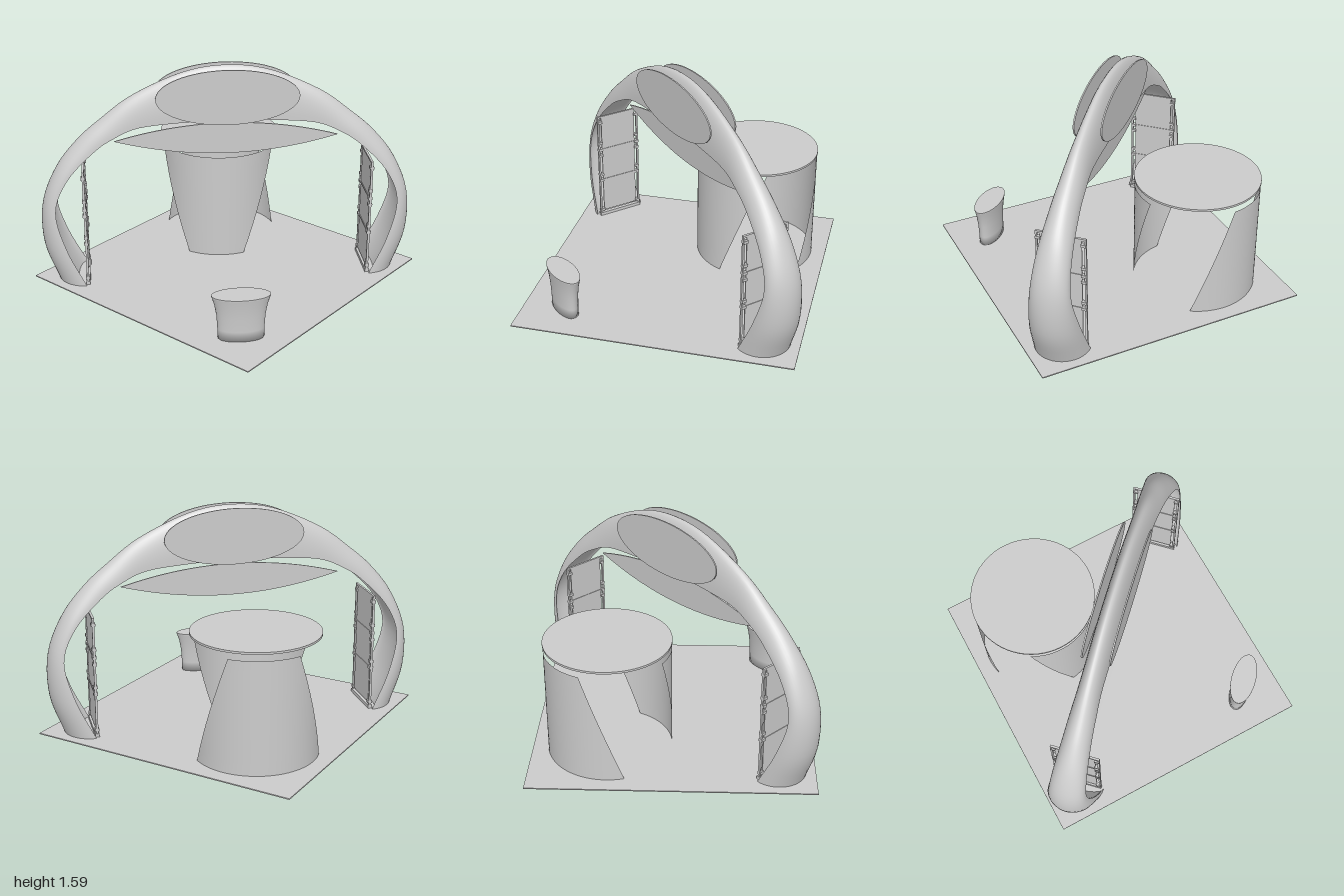
import * as THREE from 'three';

const grey = new THREE.MeshStandardMaterial({ color: 0xcccccc, side: THREE.DoubleSide });
grey.name = 'light grey';

function add(parent, name, geometry, x = 0, y = 0, z = 0) {
  const mesh = new THREE.Mesh(geometry, grey);
  mesh.name = name;
  mesh.position.set(x, y, z);
  parent.add(mesh);
  return mesh;
}

// Smooth surface from a rule f(u, v) -> [x, y, z]
function surface(f, nu, nv) {
  const pos = [], index = [];
  for (let i = 0; i <= nu; i++)
    for (let j = 0; j <= nv; j++) pos.push(...f(i / nu, j / nv));
  for (let i = 0; i < nu; i++)
    for (let j = 0; j < nv; j++) {
      const a = i * (nv + 1) + j, b = a + nv + 1;
      index.push(a, a + 1, b, b, a + 1, b + 1);
    }
  const g = new THREE.BufferGeometry();
  g.setAttribute('position', new THREE.Float32BufferAttribute(pos, 3));
  g.setIndex(index);
  g.computeVertexNormals();
  return g;
}

// Crescent arch: inner edge (x, y), half width, outer ridge (x, y) from foot to crown
function buildArch(parent) {
  const half = [
    [1.03, 0.00, 0.20, 1.235, 0.00],
    [1.165, 0.29, 0.175, 1.33, 0.29],
    [1.23, 0.57, 0.14, 1.325, 0.60],
    [1.14, 0.80, 0.12, 1.215, 0.87],
    [0.95, 1.00, 0.10, 1.06, 1.07],
    [0.80, 1.10, 0.09, 0.89, 1.22],
    [0.62, 1.17, 0.08, 0.66, 1.39],
    [0.30, 1.20, 0.08, 0.31, 1.545],
  ];
  const mirrored = half.map(([a, b, n, c, d]) => [-a, b, n, -c, d]);
  const all = [...mirrored, [0, 1.21, 0.08, 0, 1.59], ...half.reverse()];
  const edge = new THREE.CatmullRomCurve3(all.map(s => new THREE.Vector3(s[0], s[1], s[2])), false, 'catmullrom');
  const ridge = new THREE.CatmullRomCurve3(all.map(s => new THREE.Vector3(s[3], s[4], 0)), false, 'catmullrom');
  const skin = depth => surface((u, v) => {
    const e = edge.getPoint(u), r = ridge.getPoint(u);
    const k = depth * Math.sin(v * Math.PI);
    return [e.x + (r.x - e.x) * k, e.y + (r.y - e.y) * k, -e.z * Math.cos(v * Math.PI)];
  }, 80, 20);
  add(parent, 'archOuterSkin', skin(1));
  add(parent, 'archInnerSkin', skin(0.3));
}

// Pointed lens plate hanging under the crown
function buildHangingPanel(parent) {
  const s = new THREE.Shape();
  s.moveTo(-0.8, 1.045);
  s.quadraticCurveTo(0, 0.815, 0.8, 1.045);
  s.quadraticCurveTo(0, 1.275, -0.8, 1.045);
  const g = new THREE.ExtrudeGeometry(s, { depth: 0.01, bevelEnabled: false, curveSegments: 32 });
  add(parent, 'hangingPanel', g, 0, 0, -0.005);
}

// Framed upright panel across the opening of each leg
function buildLegPanel(parent, side) {
  const panel = new THREE.Group();
  panel.name = side > 0 ? 'rightPanel' : 'leftPanel';
  panel.position.x = side * 1.025;
  parent.add(panel);
  const box = (name, w, h, d, y, z) => add(panel, name, new THREE.BoxGeometry(w, h, d), 0, y, z);
  box('board', 0.008, 0.83, 0.29, 0.465, 0);
  box('panelFoot', 0.03, 0.025, 0.36, 0.022, 0);
  for (const z of [-0.17, 0.17]) {
    box('rail', 0.016, 0.87, 0.014, 0.455, z);
    for (const y of [0.06, 0.33, 0.38, 0.55, 0.6, 0.66, 0.84])
      box('bracket', 0.03, 0.02, 0.035, y, z * 0.93);
  }
  for (const y of [0.33, 0.6, 0.883]) box('crossBar', 0.016, 0.014, 0.354, y, 0);
}

// Round table on two curved shells, one tapering down and one tapering up
function buildTable(parent) {
  const table = new THREE.Group();
  table.name = 'table';
  table.position.set(-0.45, 0, -0.45);
  parent.add(table);
  add(table, 'tableTop', new THREE.CylinderGeometry(0.447, 0.447, 0.015, 64), 0, 0.863, 0);
  const shell = (centre, low, high) => surface((u, v) => {
    const a = THREE.MathUtils.degToRad(centre + (2 * u - 1) * (low + (high - low) * v));
    return [0.443 * Math.cos(a), 0.01 + 0.8 * v, 0.443 * Math.sin(a)];
  }, 36, 8);
  add(table, 'frontShell', shell(53, 28, 67));
  add(table, 'backShell', shell(233, 70, 32));
}

// Small oval counter with a flared top
function buildCounter(parent) {
  const profile = [[0, 0.008], [0.158, 0.008], [0.158, 0.08], [0.164, 0.18], [0.178, 0.26], [0.197, 0.32]];
  const counter = new THREE.Group();
  counter.name = 'counter';
  counter.position.z = 0.99;
  counter.scale.z = 0.46;
  parent.add(counter);
  add(counter, 'counterBody', new THREE.LatheGeometry(profile.map(p => new THREE.Vector2(...p)), 40));
  add(counter, 'counterTop', new THREE.CylinderGeometry(0.198, 0.198, 0.008, 40), 0, 0.324, 0);
}

export function createModel() {
  const model = new THREE.Group();
  model.name = 'exhibitionStand';
  add(model, 'floor', new THREE.BoxGeometry(2, 0.008, 2), 0, 0.004, 0);

  // Everything aligned with the floor diagonal
  const diagonal = new THREE.Group();
  diagonal.name = 'archAssembly';
  diagonal.rotation.y = Math.PI / 4;
  model.add(diagonal);
  buildArch(diagonal);
  buildHangingPanel(diagonal);
  for (const side of [-1, 1]) {
    buildLegPanel(diagonal, side);
    const oval = new THREE.CylinderGeometry(1, 1, 0.01, 64).rotateX(Math.PI / 2).scale(0.505, 0.2, 1);
    add(diagonal, side > 0 ? 'frontOvalSign' : 'backOvalSign', oval, 0, 1.38, side * 0.097);
  }
  buildCounter(diagonal);
  buildTable(model);
  return model;
}
